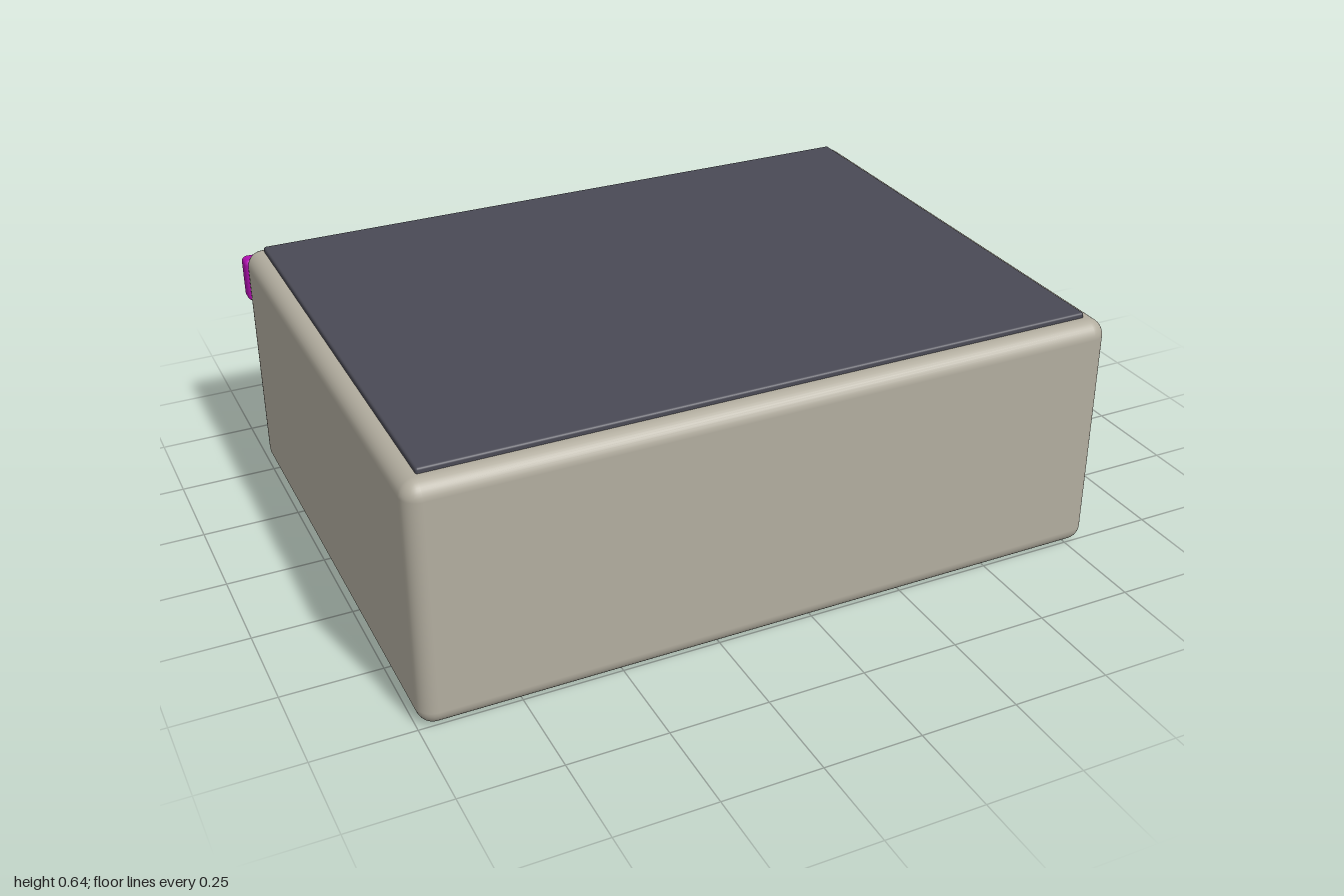
import * as THREE from 'three';
import { RoundedBoxGeometry } from 'three/addons/geometries/RoundedBoxGeometry.js';

const mat = (color) => new THREE.MeshStandardMaterial({ color });

// Rounded box given by its [min, max] extents on each axis
function block(name, color, [x0, x1], [y0, y1], [z0, z1], radius) {
  const geometry = new RoundedBoxGeometry(x1 - x0, y1 - y0, z1 - z0, 4, radius);
  const mesh = new THREE.Mesh(geometry, mat(color));
  mesh.name = name;
  mesh.position.set((x0 + x1) / 2, (y0 + y1) / 2, (z0 + z1) / 2);
  return mesh;
}

// Three solid tyres with bevelled rims, stacked beside the building
function tyreStack() {
  const stack = new THREE.Group();
  stack.name = 'tyreStack';
  const r = 0.059, h = 0.042, b = 0.007;
  const profile = [[0, 0], [r - b, 0], [r - b * 0.3, b * 0.3], [r, b],
    [r, h - b], [r - b * 0.3, h - b * 0.3], [r - b, h], [0, h]]
    .map(([x, y]) => new THREE.Vector2(x, y));
  const geometry = new THREE.LatheGeometry(profile, 32);
  const rubber = mat(0x1b1b1c);
  for (let i = 0; i < 3; i++) {
    const tyre = new THREE.Mesh(geometry, rubber);
    tyre.name = 'tyre';
    tyre.position.y = 0.008 + i * 0.046;
    stack.add(tyre);
  }
  stack.position.set(0.94, 0, -0.362);
  return stack;
}

export function createModel() {
  const model = new THREE.Group();
  model.name = 'shopBuilding';

  // Main hall and roof
  model.add(block('walls', 0xb2ad9f, [-0.995, 0.802], [0, 0.632], [-0.583, 0.764], 0.042));
  model.add(block('roof', 0x4a4a55, [-0.95, 0.757], [0.615, 0.645], [-0.543, 0.716], 0.006));

  // Shop side at the back: fascia, glazing and door
  model.add(block('fascia', 0xb00fb0, [-1, 0.807], [0.485, 0.604], [-0.607, -0.557], 0.014));
  model.add(block('shopWindow', 0x2f4059, [-0.847, 0.645], [0.06, 0.42], [-0.592, -0.572], 0.005));
  model.add(block('door', 0x222225, [-0.217, 0.02], [0.008, 0.343], [-0.598, -0.574], 0.005));

  // Bin in front of the door
  const bin = new THREE.Group();
  bin.name = 'bin';
  bin.add(block('binBody', 0xa92f2d, [-0.303, -0.147], [0, 0.18], [-0.764, -0.617], 0.01));
  bin.add(block('binLid', 0xaaaaaa, [-0.296, -0.154], [0.178, 0.198], [-0.757, -0.624], 0.008));
  model.add(bin);

  model.add(tyreStack());
  return model;
}
